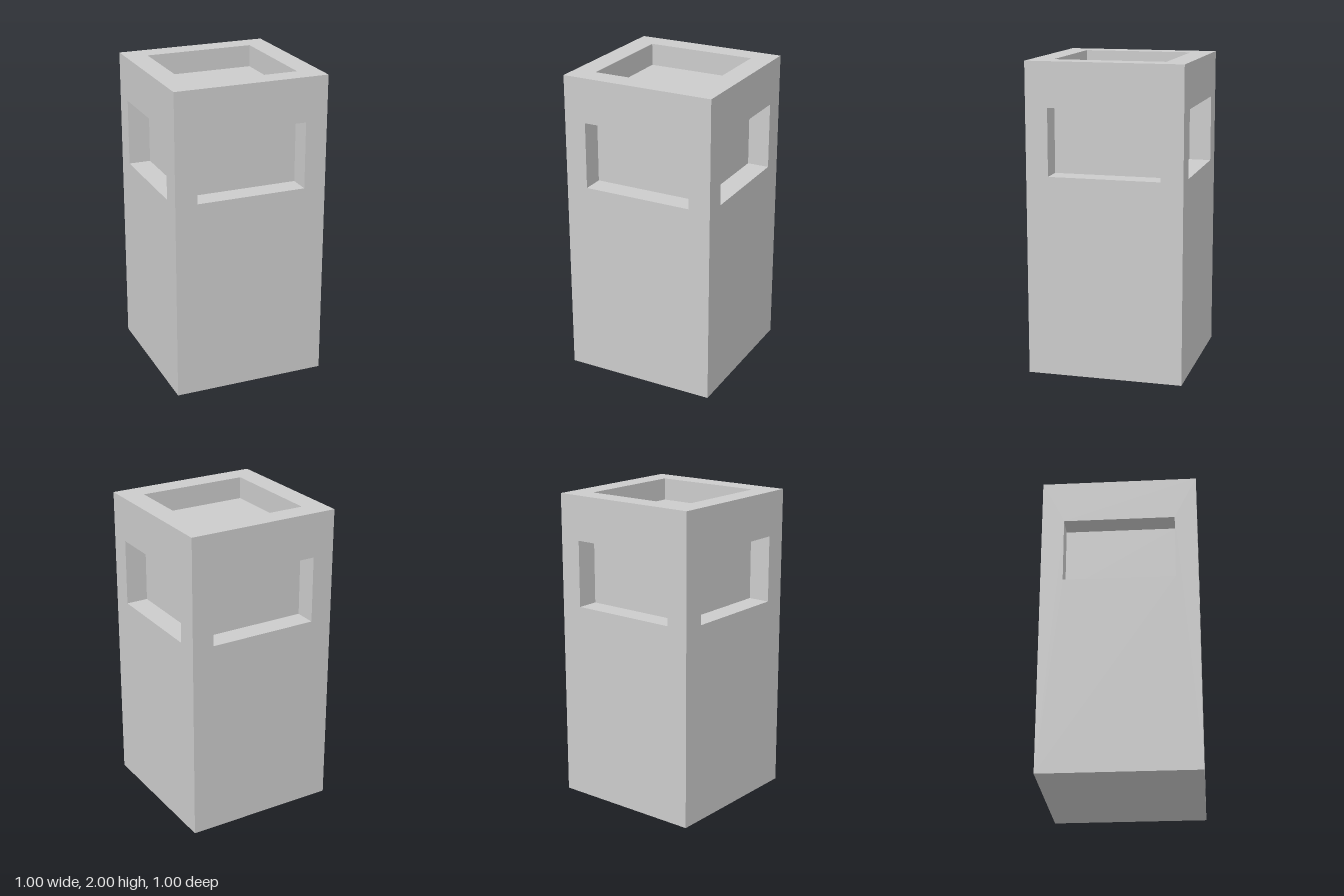
import * as THREE from 'three';
import { mergeGeometries } from 'three/addons/utils/BufferGeometryUtils.js';

const U = 1 / 7; // module: the body is 7 x 14 x 7 of these
const material = new THREE.MeshStandardMaterial({ color: 0xcccccc });

// Flat w x h panel facing +z with a rectangular recess (hw x hh, centred at height cy)
function recessedPanel(w, h, hw, hh, cy, depth) {
  const rect = (Type, rw, rh, y) => new Type([
    new THREE.Vector2(-rw / 2, y - rh / 2), new THREE.Vector2(rw / 2, y - rh / 2),
    new THREE.Vector2(rw / 2, y + rh / 2), new THREE.Vector2(-rw / 2, y + rh / 2),
  ]);
  const face = rect(THREE.Shape, w, h, 0);
  face.holes.push(rect(THREE.Path, hw, hh, cy));
  const plane = (pw, ph) => new THREE.PlaneGeometry(pw, ph);
  return mergeGeometries([
    new THREE.ShapeGeometry(face),
    plane(hw, hh).translate(0, cy, -depth), // recess back
    plane(depth, hh).rotateY(Math.PI / 2).translate(-hw / 2, cy, -depth / 2), // reveals
    plane(depth, hh).rotateY(-Math.PI / 2).translate(hw / 2, cy, -depth / 2),
    plane(hw, depth).rotateX(-Math.PI / 2).translate(0, cy - hh / 2, -depth / 2),
    plane(hw, depth).rotateX(Math.PI / 2).translate(0, cy + hh / 2, -depth / 2),
  ]);
}

export function createModel() {
  const group = new THREE.Group();
  group.name = 'recessedPillar';
  const add = (name, geometry) => {
    const mesh = new THREE.Mesh(geometry, material);
    mesh.name = name;
    group.add(mesh);
  };

  // Four sides, each with a window-like recess
  ['frontSide', 'leftSide', 'backSide', 'rightSide'].forEach((name, i) => {
    add(name, recessedPanel(1, 2, 5 * U, 3 * U, 3.5 * U, U)
      .translate(0, 1, 0.5).rotateY(i * Math.PI / 2));
  });

  // Top with a square tray
  add('topTray', recessedPanel(1, 1, 5 * U, 5 * U, 0, U)
    .rotateX(-Math.PI / 2).translate(0, 2, 0));

  // Base
  add('base', new THREE.PlaneGeometry(1, 1).rotateX(Math.PI / 2));

  return group;
}
